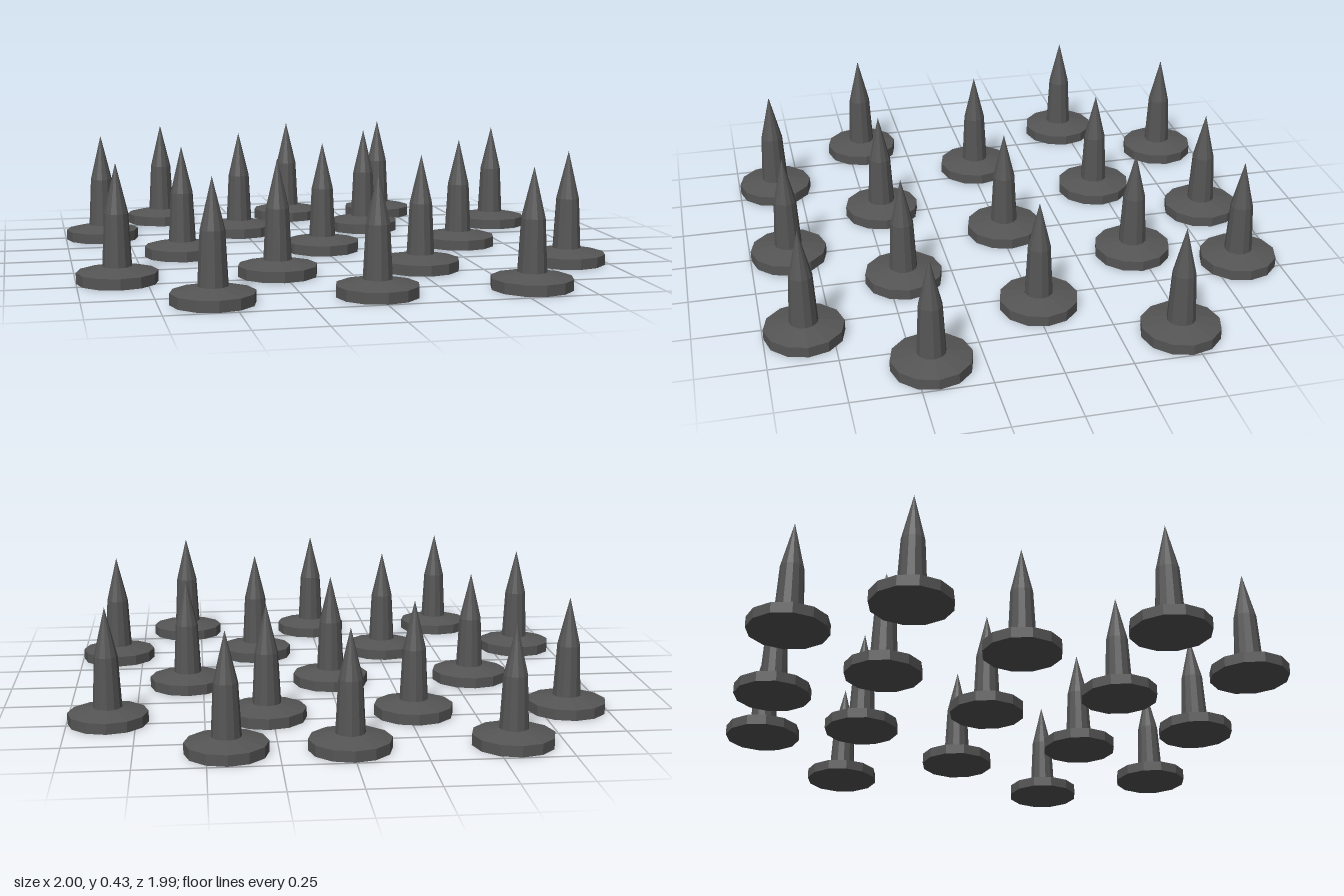
import * as THREE from 'three';

export function createModel() {
  const group = new THREE.Group();
  group.name = 'spikeField';
  const material = new THREE.MeshStandardMaterial({ color: 0x555555, flatShading: true });
  const SIDES = 12;

  const lathe = (points) =>
    new THREE.LatheGeometry(points.map(([r, y]) => new THREE.Vector2(r, y)), SIDES);

  // Round foot: flat underside, upright rim, slightly sloping top
  const footGeometry = lathe([[0, 0], [0.147, 0], [0.147, 0.04], [0.053, 0.06]]);
  // Spike: gently tapered shaft, then a long sharp point
  const spikeGeometry = lathe([[0.053, 0.06], [0.043, 0.25], [0, 0.43]]);

  // Staggered rows, back to front
  const rows = [
    { z: -0.85, xs: [-0.565, 0.005, 0.43] },
    { z: -0.47, xs: [-0.85, -0.272, 0.272, 0.85] },
    { z: -0.017, xs: [-0.567, -0.006, 0.56] },
    { z: 0.44, xs: [-0.853, -0.271, 0.271, 0.85] },
    { z: 0.85, xs: [-0.565, 0.002, 0.56] },
  ];

  for (const { z, xs } of rows) {
    for (const x of xs) {
      const stud = new THREE.Group();
      stud.name = 'spikeStud';
      const foot = new THREE.Mesh(footGeometry, material);
      foot.name = 'foot';
      const spike = new THREE.Mesh(spikeGeometry, material);
      spike.name = 'spike';
      stud.add(foot, spike);
      stud.position.set(x, 0, z);
      group.add(stud);
    }
  }
  return group;
}
